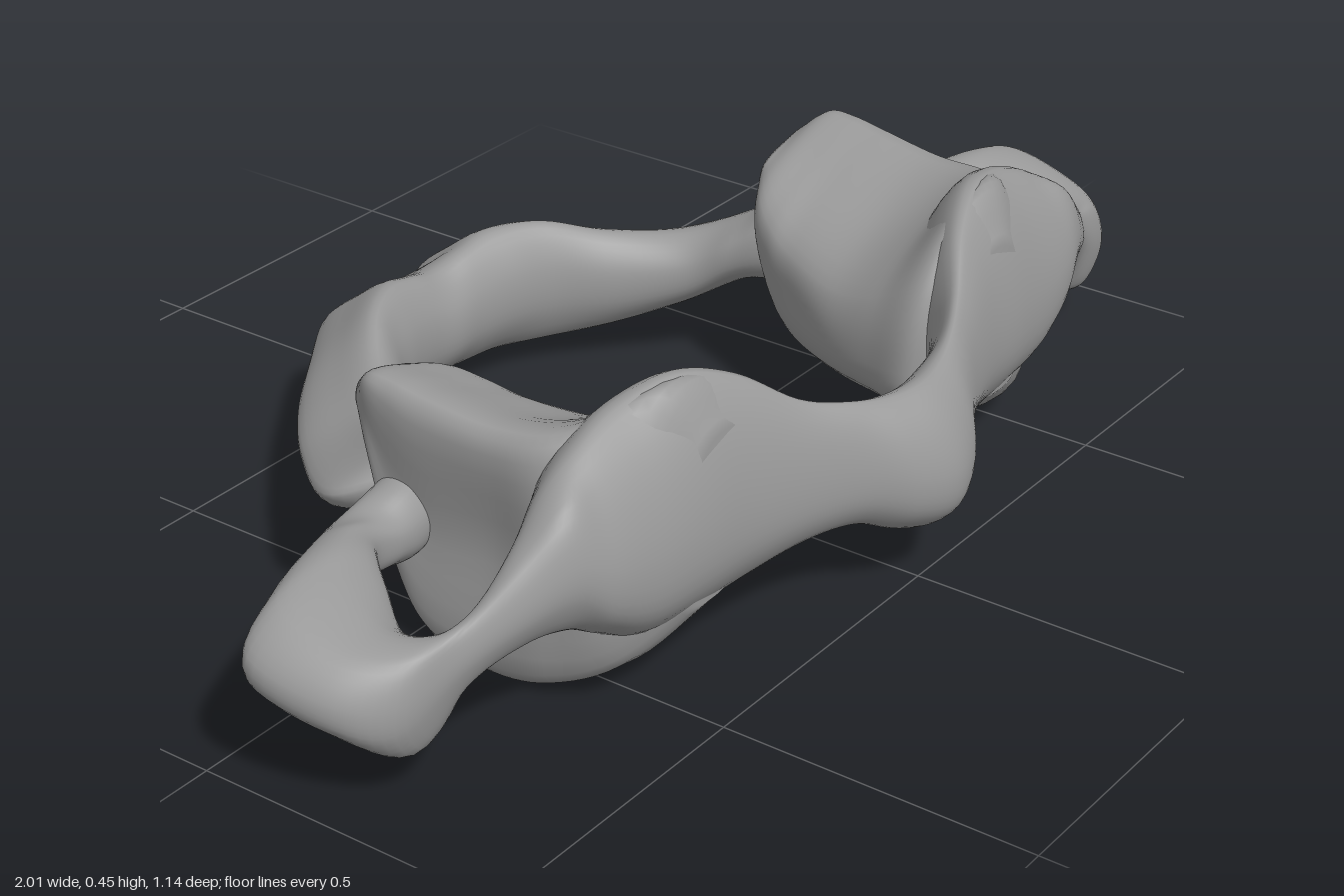
import * as THREE from 'three';

const material = new THREE.MeshStandardMaterial({ color: 0x999999 });
const V = (x, y, z) => new THREE.Vector3(x, y, z);

// Smooth closed skin through a row of rings, with closed ends and outward faces
function loft(rings, around = 40, perRing = 6) {
  const sampled = rings.map((ring) => {
    const c = new THREE.CatmullRomCurve3(ring, true, 'centripetal');
    return Array.from({ length: around }, (_, j) => c.getPoint(j / around));
  });
  const rows = (rings.length - 1) * perRing;
  const pos = [];
  const idx = [];
  const columns = Array.from({ length: around }, (_, j) =>
    new THREE.CatmullRomCurve3(sampled.map((r) => r[j]), false, 'catmullrom', 0.5));
  for (let i = 0; i <= rows; i++) {
    for (let j = 0; j < around; j++) pos.push(...columns[j].getPoint(i / rows).toArray());
  }
  for (let i = 0; i < rows; i++) {
    for (let j = 0; j < around; j++) {
      const a = i * around + j;
      const b = i * around + (j + 1) % around;
      idx.push(a, b, a + around, b, b + around, a + around);
    }
  }
  for (const row of [0, rows]) {
    const mid = V(0, 0, 0);
    for (let j = 0; j < around; j++) {
      mid.add(V(0, 0, 0).fromArray(pos, (row * around + j) * 3).divideScalar(around));
    }
    const c = pos.length / 3;
    pos.push(mid.x, mid.y, mid.z);
    for (let j = 0; j < around; j++) {
      const a = row * around + j;
      const b = row * around + (j + 1) % around;
      if (row === 0) idx.push(c, b, a);
      else idx.push(c, a, b);
    }
  }
  // turn the skin right side out if its signed volume is negative
  let volume = 0;
  const p = (k) => V(0, 0, 0).fromArray(pos, idx[k] * 3);
  for (let k = 0; k < idx.length; k += 3) volume += p(k).dot(p(k + 1).cross(p(k + 2)));
  if (volume < 0) idx.reverse();
  const g = new THREE.BufferGeometry();
  g.setAttribute('position', new THREE.Float32BufferAttribute(pos, 3));
  g.setIndex(idx);
  g.computeVertexNormals();
  return g;
}

// Ring from a station [innerX, innerZ, outerX, outerZ, bottom, top] and a profile of [across, up]
const section = (profile) => ([ix, iz, ox, oz, y0, y1]) =>
  profile.map(([t, v]) => V(ix + (ox - ix) * t, y0 + (y1 - y0) * v, iz + (oz - iz) * t));

const mirrorRing = (ring) => ring.map((q) => V(-q.x, q.y, q.z));
const bothSides = (rings) => [...rings.slice(1).reverse().map(mirrorRing), ...rings];

// Cross-section profiles
const frontProfile = [[0, 0.3], [0, 0.7], [0.42, 1], [0.74, 0.85], [1, 0.47], [0.96, 0.18], [0.6, 0], [0.2, 0.07]];
const wingProfile = [[0, 0.3], [0, 0.7], [0.3, 1], [0.75, 0.95], [1, 0.6], [1, 0.3], [0.7, 0], [0.25, 0.05]];
const backProfile = [[0, 0.3], [0, 0.72], [0.25, 1], [0.65, 0.8], [1, 0.5], [0.92, 0.25], [0.3, 0]];

// Front arch, from the midline outwards
const frontArch = [
  [0, 0.42, 0, 0.565, 0.095, 0.32],
  [0.06, 0.42, 0.07, 0.545, 0.11, 0.322],
  [0.13, 0.418, 0.14, 0.5, 0.14, 0.335],
  [0.2, 0.385, 0.22, 0.462, 0.135, 0.36],
  [0.27, 0.32, 0.32, 0.432, 0.105, 0.42],
  [0.36, 0.26, 0.42, 0.42, 0.085, 0.452],
  [0.46, 0.22, 0.52, 0.408, 0.085, 0.435],
  [0.55, 0.225, 0.6, 0.396, 0.13, 0.405],
];
// Wing carried on from the arch, around its opening to the back root
const sideWing = [
  [0.62, 0.255, 0.66, 0.375, 0.17, 0.365],
  [0.68, 0.272, 0.73, 0.345, 0.175, 0.31],
  [0.755, 0.277, 0.82, 0.305, 0.145, 0.245],
  [0.79, 0.255, 0.925, 0.277, 0.07, 0.225],
  [0.808, 0.195, 0.985, 0.205, 0.1, 0.23],
  [0.765, 0.125, 0.995, 0.085, 0.13, 0.262],
  [0.735, 0.085, 0.92, 0.042, 0.15, 0.272],
  [0.695, 0.05, 0.8, 0.0, 0.16, 0.262],
  [0.64, 0.05, 0.715, -0.04, 0.155, 0.245],
  [0.59, 0.05, 0.635, -0.045, 0.145, 0.26],
  [0.52, 0.04, 0.53, -0.06, 0.16, 0.27],
];
// Back arch, from the midline outwards
const backArch = [
  [0, -0.375, 0, -0.57, 0.05, 0.235],
  [0.06, -0.375, 0.07, -0.548, 0.048, 0.25],
  [0.13, -0.36, 0.13, -0.553, 0.046, 0.264],
  [0.2, -0.33, 0.245, -0.48, 0.046, 0.26],
  [0.27, -0.26, 0.36, -0.4, 0.06, 0.232],
  [0.335, -0.17, 0.485, -0.28, 0.1, 0.228],
  [0.36, -0.1, 0.612, -0.12, 0.15, 0.27],
  [0.385, -0.03, 0.575, -0.03, 0.16, 0.32],
  [0.44, 0.03, 0.55, 0.03, 0.17, 0.29],
];

// Side mass: [z, then x,y of outer base, outer wall, outer rim, dished top, inner rim, inner wall, inner base]
const sideMass = [
  [-0.09, 0.56, 0.335, 0.57, 0.355, 0.56, 0.38, 0.5, 0.375, 0.44, 0.355, 0.43, 0.335, 0.45, 0.325],
  [-0.055, 0.58, 0.27, 0.592, 0.34, 0.585, 0.408, 0.48, 0.383, 0.38, 0.33, 0.365, 0.28, 0.39, 0.24],
  [-0.01, 0.575, 0.1, 0.592, 0.26, 0.59, 0.408, 0.46, 0.37, 0.345, 0.3, 0.335, 0.23, 0.36, 0.16],
  [0.05, 0.58, 0.02, 0.585, 0.2, 0.59, 0.398, 0.44, 0.352, 0.32, 0.275, 0.31, 0.2, 0.33, 0.125],
  [0.16, 0.585, 0.003, 0.575, 0.2, 0.58, 0.385, 0.42, 0.34, 0.275, 0.265, 0.25, 0.2, 0.27, 0.13],
  [0.26, 0.58, 0.02, 0.585, 0.2, 0.555, 0.395, 0.4, 0.375, 0.245, 0.295, 0.215, 0.21, 0.23, 0.14],
  [0.345, 0.53, 0.055, 0.57, 0.2, 0.45, 0.435, 0.345, 0.438, 0.235, 0.345, 0.197, 0.23, 0.21, 0.14],
  [0.4, 0.42, 0.12, 0.47, 0.22, 0.4, 0.36, 0.34, 0.37, 0.28, 0.33, 0.25, 0.24, 0.28, 0.15],
];
const massRings = sideMass.map(([z, ...xy]) =>
  Array.from({ length: xy.length / 2 }, (_, k) => V(xy[2 * k], xy[2 * k + 1], z)));

export function createModel() {
  const model = new THREE.Group();
  model.name = 'ringBone';
  const add = (name, rings) => {
    const mesh = new THREE.Mesh(loft(rings), material);
    mesh.name = name;
    model.add(mesh);
  };

  // Front arch flows into both looped wings; the back arch closes the ring
  const frontRings = [...frontArch.map(section(frontProfile)), ...sideWing.map(section(wingProfile))];
  add('frontArchAndWings', bothSides(frontRings));
  add('backArch', bothSides(backArch.map(section(backProfile))));

  // Mirrored side masses
  add('leftSideMass', massRings);
  add('rightSideMass', massRings.map(mirrorRing));
  return model;
}
